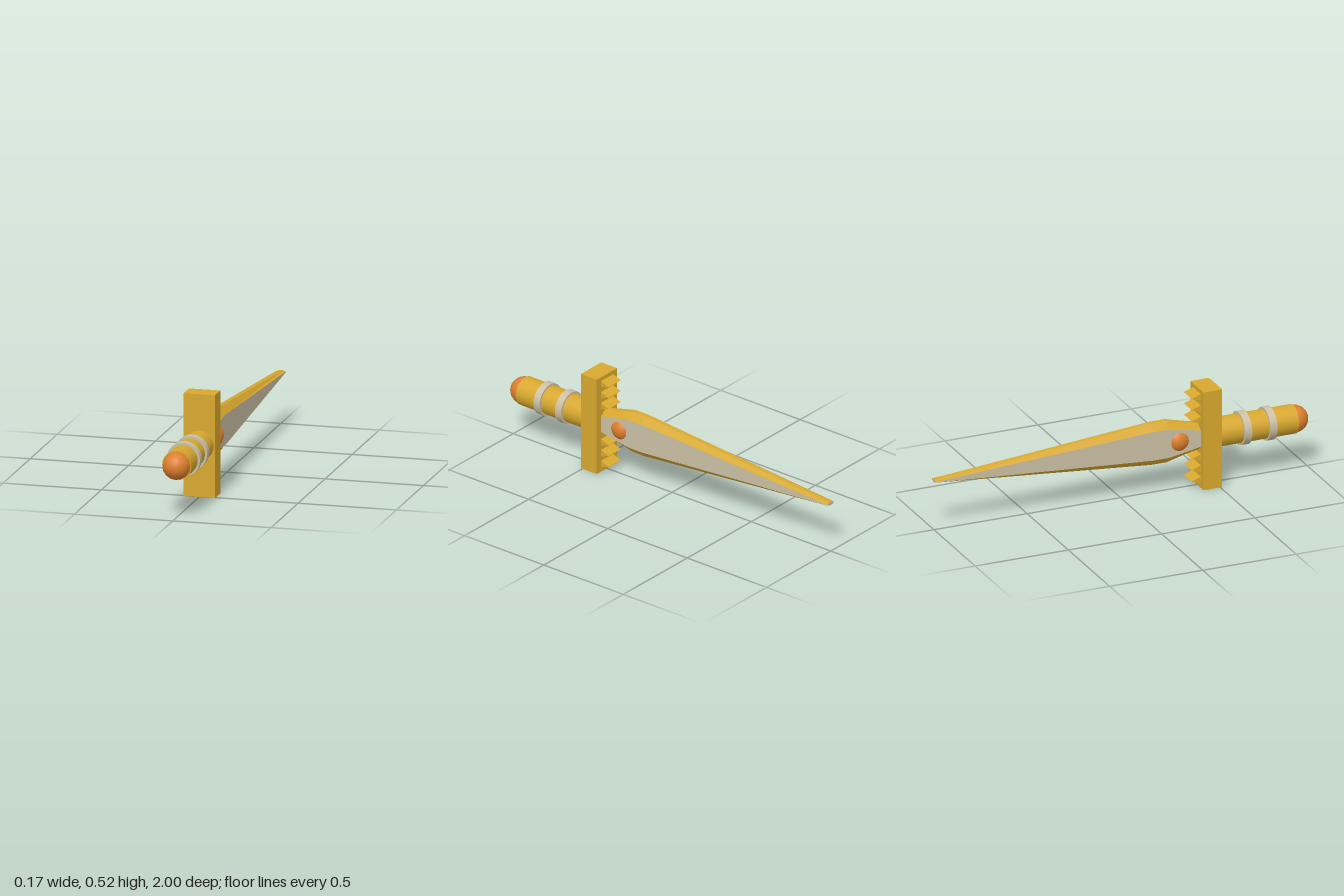
import * as THREE from 'three';

const mat = (name, color) => {
  const m = new THREE.MeshStandardMaterial({ color });
  m.name = name;
  return m;
};

export function createModel() {
  const gold = mat('gold', 0xd8a82e);
  const bone = mat('bone', 0xccc1a6);
  const amber = mat('amber', 0xdd7f2e);
  const model = new THREE.Group();
  model.name = 'dagger';
  const CY = 0.262; // height of the long axis

  const add = (parent, name, geometry, material, x, y, z) => {
    const mesh = new THREE.Mesh(geometry, material);
    mesh.name = name;
    mesh.position.set(x, y, z);
    parent.add(mesh);
    return mesh;
  };
  // Cylinder lying along z between two depths
  const rod = (name, radius, z0, z1, material) =>
    add(model, name, new THREE.CylinderGeometry(radius, radius, z1 - z0, 24).rotateX(Math.PI / 2),
      material, 0, CY, (z0 + z1) / 2);

  // Grip, its two rings and the rounded pommel
  rod('grip', 0.074, 0.5, 0.925, gold);
  rod('frontRing', 0.085, 0.767, 0.805, bone);
  rod('rearRing', 0.085, 0.631, 0.67, bone);
  add(model, 'pommel', new THREE.SphereGeometry(0.07, 16, 10).rotateX(Math.PI / 2), amber, 0, CY, 0.93);

  // Crossguard
  add(model, 'guard', new THREE.BoxGeometry(0.16, 0.52, 0.1), gold, 0, 0.26, 0.46);

  // Wedge teeth on the blade side of the guard
  const wedge = new THREE.Shape([
    new THREE.Vector2(0, -0.018), new THREE.Vector2(0.05, 0), new THREE.Vector2(0, 0.018),
  ]);
  const toothGeo = new THREE.ExtrudeGeometry(wedge, { depth: 0.096, bevelEnabled: false });
  toothGeo.translate(0, 0, -0.048).rotateY(Math.PI / 2);
  const teeth = new THREE.Group();
  teeth.name = 'teeth';
  model.add(teeth);
  for (const side of [-1, 1])
    for (let i = 0; i < 3; i++)
      add(teeth, 'tooth', toothGeo, gold, 0, CY + side * (0.1 + i * 0.06), 0.411);

  // Blade stations: z, half width, edge half width, flat half height, full half height
  const stations = [
    [0.42, 0.047, 0.012, 0.04, 0.068],
    [0.36, 0.046, 0.012, 0.054, 0.08],
    [0.24, 0.044, 0.011, 0.075, 0.111],
    [0.16, 0.043, 0.011, 0.076, 0.111],
    [-1, 0.025, 0.01, 0.002, 0.008],
  ];
  const rings = stations.map(([z, w, e, g, h]) => [
    [w, g, z], [e, h, z], [-e, h, z], [-w, g, z],
    [-w, -g, z], [-e, -h, z], [e, -h, z], [w, -g, z],
  ]);
  const blade = new THREE.BufferGeometry();
  const pos = [];
  for (let s = 0; s < 8; s++) {
    const n = (s + 1) % 8;
    const start = pos.length / 3;
    for (let i = 0; i < rings.length - 1; i++) {
      const [a, b, c, d] = [rings[i][s], rings[i][n], rings[i + 1][n], rings[i + 1][s]];
      pos.push(...a, ...d, ...c, ...a, ...c, ...b);
    }
    // The broad side faces are pale, the edges gold
    blade.addGroup(start, pos.length / 3 - start, s === 3 || s === 7 ? 1 : 0);
  }
  const tip = rings[rings.length - 1];
  const tipStart = pos.length / 3;
  for (let s = 1; s < 7; s++) pos.push(...tip[0], ...tip[s + 1], ...tip[s]);
  blade.addGroup(tipStart, pos.length / 3 - tipStart, 1);
  blade.setAttribute('position', new THREE.Float32BufferAttribute(pos, 3));
  blade.computeVertexNormals();
  add(model, 'blade', blade, [gold, bone], 0, CY, 0);

  // Round gem set through the blade, showing on both sides
  add(model, 'gem', new THREE.SphereGeometry(0.065, 24, 16).rotateZ(Math.PI / 2), amber, 0, CY, 0.3);

  return model;
}
